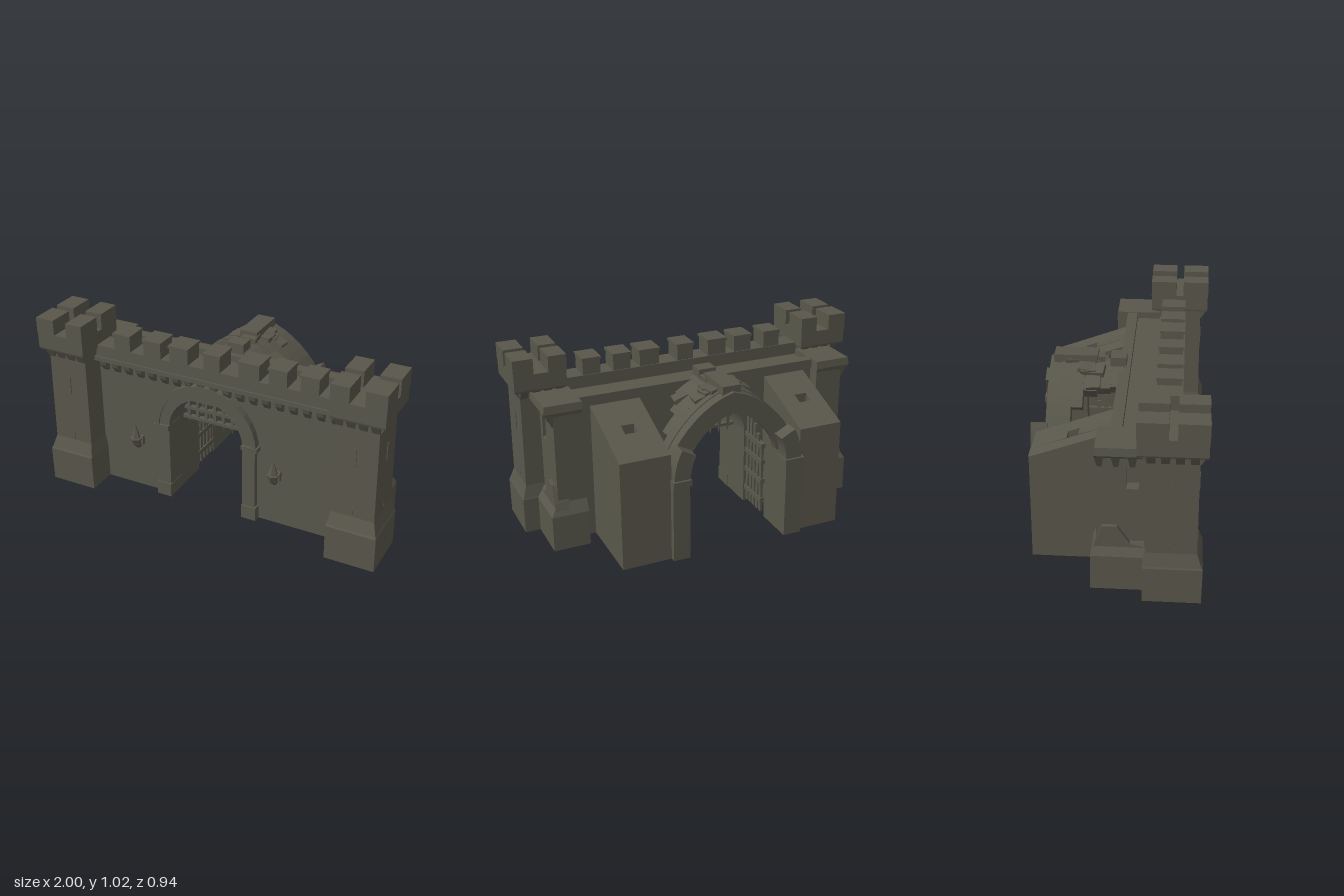
import * as THREE from 'three';

export function createModel() {
  const root = new THREE.Group();
  root.name = 'castleGate';
  const stone = new THREE.MeshStandardMaterial({ color: 0x59574b, flatShading: true });
  stone.name = 'greyStone';
  const rad = THREE.MathUtils.degToRad;
  let seed = 7;
  const rnd = () => (seed = (seed * 16807) % 2147483647) / 2147483647 - 0.5;

  const add = (name, geo) => {
    const m = new THREE.Mesh(geo, stone);
    m.name = name;
    root.add(m);
    return m;
  };
  // Box given by its limits
  const box = (name, x0, x1, y0, y1, z0, z1) =>
    add(name, new THREE.BoxGeometry(Math.abs(x1 - x0), y1 - y0, Math.abs(z1 - z0))
      .translate((x0 + x1) / 2, (y0 + y1) / 2, (z0 + z1) / 2));
  // Stack of rectangles [y, x0, x1, z0, z1], joined and capped
  const loft = (name, rings) => {
    const pos = [];
    const r = rings.map(([y, xa, xb, za, zb]) => {
      const x0 = Math.min(xa, xb), x1 = Math.max(xa, xb), z0 = Math.min(za, zb), z1 = Math.max(za, zb);
      return [[x0, y, z1], [x1, y, z1], [x1, y, z0], [x0, y, z0]];
    });
    const quad = (a, b, c, d) => pos.push(...a, ...b, ...c, ...a, ...c, ...d);
    for (let i = 0; i < r.length - 1; i++)
      for (let k = 0; k < 4; k++) quad(r[i][k], r[i][(k + 1) % 4], r[i + 1][(k + 1) % 4], r[i + 1][k]);
    quad(...r[r.length - 1]);
    quad(r[0][3], r[0][2], r[0][1], r[0][0]);
    const g = new THREE.BufferGeometry();
    g.setAttribute('position', new THREE.Float32BufferAttribute(pos, 3));
    g.computeVertexNormals();
    return add(name, g);
  };
  const polygon = pts => new THREE.Shape(pts.map(p => new THREE.Vector2(...p)));
  // Side profile in (z, y), extruded between two x values
  const sideProfile = (name, shape, xa, xb) =>
    add(name, new THREE.ExtrudeGeometry(shape, { depth: Math.abs(xb - xa), bevelEnabled: false })
      .rotateY(-Math.PI / 2).translate(Math.max(xa, xb), 0, 0));
  // Piece of an arch, angles in degrees; dip flattens the haunches into a pointed arch
  const archPoint = (cx, cy, r, deg, dip) => {
    const a = rad(deg), q = r * (1 - dip * Math.abs(Math.sin(2 * a)));
    return [cx + q * Math.cos(a), cy + q * Math.sin(a)];
  };
  const archPiece = (name, cx, cy, r0, r1, a0, a1, z0, z1, dip = 0) => {
    const n = 18, outer = [], inner = [];
    for (let i = 0; i <= n; i++) {
      const a = a0 + (a1 - a0) * i / n;
      outer.push(archPoint(cx, cy, r1, a, dip));
      inner.unshift(archPoint(cx, cy, r0, a, dip));
    }
    return add(name, new THREE.ExtrudeGeometry(polygon([...outer, ...inner]), { depth: z1 - z0, bevelEnabled: false })
      .translate(0, 0, z0));
  };

  // Main wall with the arched gateway
  const gx = -0.055, spring = 0.44, gr = 0.225;
  const wall = polygon([[-0.74, 0], [gx - gr, 0], [gx - gr, spring]]);
  wall.absarc(gx, spring, gr, Math.PI, 0, true);
  [[gx + gr, 0], [0.74, 0], [0.74, 0.79], [-0.74, 0.79]].forEach(p => wall.lineTo(...p));
  add('gateWall', new THREE.ExtrudeGeometry(wall, { depth: 0.29, bevelEnabled: false, curveSegments: 20 }));

  // Gate surround
  archPiece('gateArch', gx, spring, gr, 0.29, 0, 180, 0.27, 0.32);
  archPiece('gateArchMoulding', gx, spring, 0.285, 0.31, 0, 180, 0.27, 0.33);
  for (const s of [-1, 1]) {
    box('gateJamb', gx + s * gr, gx + s * 0.3, 0, 0.44, 0.2, 0.32);
    box('gateCapital', gx + s * 0.222, gx + s * 0.318, 0.435, 0.46, 0.2, 0.335);
    box('gateJambFoot', gx + s * 0.222, gx + s * 0.31, 0, 0.08, 0.2, 0.33);
  }

  // Parapet, walkway ledge, merlons and corbels
  box('parapet', -0.72, 0.72, 0.79, 0.86, 0.2, 0.33);
  box('parapetLedge', -0.73, 0.73, 0.77, 0.795, 0.2, 0.34);
  box('rearLedge', -0.72, 0.72, 0.77, 0.825, -0.01, 0.05);
  for (const [a, b] of [[-0.6, -0.5], [-0.415, -0.31], [-0.255, -0.145], [-0.05, 0.045], [0.155, 0.27], [0.325, 0.425], [0.5, 0.6]]) {
    box('merlon', a, b, 0.86, 0.94, 0.205, 0.33);
    box('merlonCap', a - 0.005, b + 0.005, 0.94, 0.955, 0.2, 0.337);
  }
  for (let i = 0; i < 19; i++) {
    const x = -0.684 + i * 0.076;
    loft('wallCorbel', [[0.705, x - 0.016, x + 0.016, 0.28, 0.3], [0.74, x - 0.018, x + 0.018, 0.28, 0.325], [0.775, x - 0.02, x + 0.02, 0.28, 0.335]]);
  }

  // Portcullis
  const archTop = x => spring + Math.sqrt(Math.max(0, gr * gr - (x - gx) ** 2)) + 0.01;
  for (let i = 0; i < 8; i++) {
    const x = gx + (i - 3.5) * 0.054;
    box('portcullisBar', x - 0.009, x + 0.009, 0.44, archTop(x), 0.14, 0.16);
    add('portcullisSpike', new THREE.ConeGeometry(0.014, 0.06, 4).rotateX(Math.PI).translate(x, 0.42, 0.15));
  }
  for (const y of [0.445, 0.505, 0.56, 0.61]) {
    const h = Math.sqrt(gr * gr - (y - spring) ** 2);
    box('portcullisRail', gx - h, gx + h, y - 0.009, y + 0.009, 0.137, 0.163);
  }

  // Wall torches
  for (const x of [-0.49, 0.36]) {
    add('torchFlame', new THREE.ConeGeometry(0.03, 0.1, 5).translate(x, 0.375, 0.335));
    add('torchCup', new THREE.CylinderGeometry(0.036, 0.02, 0.04, 6).translate(x, 0.315, 0.335));
    box('torchBracket', x - 0.028, x + 0.028, 0.28, 0.335, 0.285, 0.31);
    loft('torchFoot', [[0.262, x - 0.008, x + 0.008, 0.285, 0.32], [0.3, x - 0.02, x + 0.02, 0.285, 0.35]]);
  }

  for (const s of [-1, 1]) {
    // Front tower
    loft('towerShaft', [[0, s * 0.715, s * 0.99, 0.165, 0.46], [0.2, s * 0.715, s * 0.99, 0.165, 0.462],
      [0.21, s * 0.717, s * 0.985, 0.168, 0.456], [0.28, s * 0.73, s * 0.965, 0.18, 0.432], [0.84, s * 0.73, s * 0.96, 0.18, 0.428]]);
    loft('towerParapet', [[0.838, s * 0.714, s * 0.994, 0.138, 0.465], [0.848, s * 0.712, s * 0.998, 0.135, 0.468], [0.935, s * 0.712, s * 0.998, 0.135, 0.468]]);
    for (const [xa, xb] of [[0.71, 0.81], [0.89, 1]])
      for (const [za, zb] of [[0.132, 0.28], [0.322, 0.47]]) box('towerMerlon', s * xa, s * xb, 0.93, 1.022, za, zb);
    for (const t of [0, 1, 2, 3]) {
      const x = 0.75 + t * 0.064, z = 0.2 + t * 0.068;
      loft('towerCorbelFront', [[0.79, s * (x - 0.02), s * (x + 0.02), 0.42, 0.435], [0.845, s * (x - 0.022), s * (x + 0.022), 0.42, 0.465]]);
      loft('towerCorbelSide', [[0.79, s * 0.95, s * 0.965, z - 0.02, z + 0.02], [0.845, s * 0.95, s * 0.994, z - 0.022, z + 0.022]]);
      loft('towerCorbelBack', [[0.79, s * (x - 0.02), s * (x + 0.02), 0.175, 0.19], [0.845, s * (x - 0.022), s * (x + 0.022), 0.138, 0.19]]);
    }
    for (const [y0, y1] of [[0.575, 0.675], [0.285, 0.335]]) {
      box('arrowSlitFront', s * 0.836, s * 0.85, y0, y1, 0.427, 0.435);
      box('arrowSlitSide', s * 0.958, s * 0.966, y0, y1, 0.29, 0.306);
    }

    // Rear turret with a window recess, splayed foot and cap
    const side = polygon([[-0.07, 0], [0.19, 0], [0.19, 0.77], [-0.07, 0.77]]);
    side.holes.push(polygon([[0.08, 0.575], [0.08, 0.7], [0.14, 0.7], [0.14, 0.575]]));
    sideProfile('turretFace', side, s * 0.79, s * 0.86);
    box('turretBody', s * 0.7, s * 0.8, 0, 0.77, -0.07, 0.19);
    loft('turretBase', [[0, s * 0.7, s * 0.905, -0.1, 0.17], [0.2, s * 0.7, s * 0.905, -0.098, 0.17], [0.27, s * 0.7, s * 0.865, -0.07, 0.17]]);
    sideProfile('turretButtress', polygon([[-0.095, 0.2], [0.165, 0.2], [0.165, 0.25], [0.1, 0.265], [0.035, 0.365], [-0.04, 0.365], [-0.075, 0.27]]), s * 0.8, s * 0.88);
    loft('turretCap', [[0.765, s * 0.7, s * 0.89, -0.07, 0.18], [0.785, s * 0.7, s * 0.91, -0.075, 0.18], [0.828, s * 0.7, s * 0.905, -0.07, 0.18]]);
    for (const z of [-0.05, 0.03, 0.11])
      loft('turretCorbel', [[0.7, s * 0.85, s * 0.862, z - 0.012, z + 0.012], [0.77, s * 0.85, s * 0.895, z - 0.022, z + 0.022]]);

    // Rear block with a sloping roof and a roof hatch
    const xi = s < 0 ? -0.4 : 0.355, xo = s < 0 ? -0.65 : 0.635;
    const hx = s < 0 ? -0.57 : 0.46, roofY = z => 0.772 + z * 0.386;
    const roofLine = hatch => polygon([[0.02, 0], [0.02, 0.772], ...hatch, [-0.425, roofY(-0.425)], [-0.43, 0]]);
    const cuts = [Math.min(xi, xo), hx, hx + 0.07, Math.max(xi, xo)];
    for (let i = 0; i < 3; i++)
      sideProfile('rearBlock', roofLine(i === 1 ? [[-0.18, roofY(-0.18)], [-0.18, 0.62], [-0.24, 0.62], [-0.24, roofY(-0.24)]] : []), cuts[i], cuts[i + 1]);

    // Rear gate pier, passage wall and the stub of the rear arch
    const px = s < 0 ? -0.405 : 0.36, pi = s < 0 ? -0.3 : 0.265;
    box('rearPier', pi, px, 0, 0.45, -0.46, -0.37);
    box('passageWall', pi, px, 0, 0.51, -0.38, -0.22);
    box('rearPierCapital', pi - s * 0.008, px, 0.43, 0.465, -0.47, -0.37);
    archPiece('rearArchStub', -0.02, 0.46, 0.28, 0.37, s > 0 ? 0 : 152, s > 0 ? 28 : 180, -0.458, -0.37);

    // Open gate leaf
    const dx = s < 0 ? -0.305 : 0.18;
    for (let i = 0; i < 5; i++) box('gateLeafPlank', dx, dx + 0.014, 0.02, 0.57 - i * i * 0.009, -0.035 - i * 0.04, -0.01 - i * 0.04);
    for (const y of [0.08, 0.2, 0.32, 0.42]) box('gateLeafBand', dx - 0.006, dx + 0.02, y, y + 0.028, -0.2, 0);
  }

  // Ruined pointed vault, its sides broken away near the wall
  const vx = -0.02, vy = 0.49, dip = 0.11;
  const slices = [[0.02, 0.36, 58, 120], [-0.05, 0.365, 54, 122], [-0.12, 0.38, 42, 126], [-0.19, 0.385, 24, 142], [-0.25, 0.385, 6, 168], [-0.31, 0.38, 0, 180]];
  slices.forEach(([z, r, a0, a1]) => archPiece('vault', vx, vy, 0.3, r, a0, a1, z - 0.07, z, dip));
  archPiece('vaultRib', vx, vy, 0.265, 0.31, 0, 180, -0.375, -0.32, dip);

  // Broken stones lying on the vault
  for (let i = 0; i < 14; i++) {
    const a = 90 + rnd() * 66;
    const m = add('brokenStone', new THREE.BoxGeometry(0.085, 0.03, 0.075));
    m.position.set(...archPoint(vx, vy, 0.378, a, dip), -0.22 + rnd() * 0.26);
    m.rotation.set(rnd() * 0.2, rnd() * 0.5, rad(a - 90) * 0.8 + rnd() * 0.2);
  }
  box('topStone', -0.07, 0.03, 0.84, 0.89, -0.055, 0.03);
  box('topStone', -0.07, 0.035, 0.85, 0.9, -0.36, -0.125);

  return root;
}
